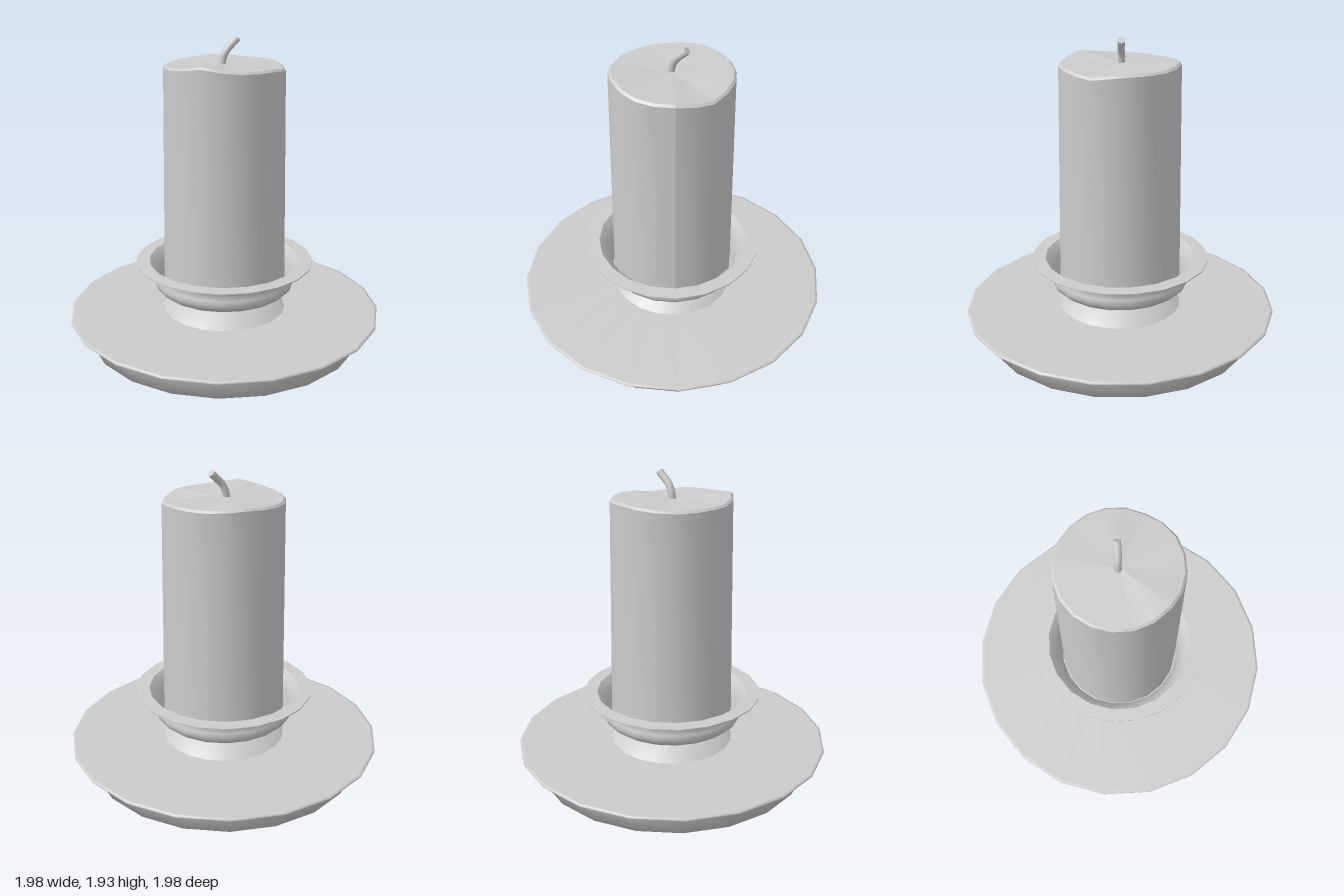
import * as THREE from 'three';

const SIDES = 20;
const material = new THREE.MeshStandardMaterial({ color: 0xcccccc });

// Turns several profiles about y; normals are smooth inside each, sharp between them.
function turned(name, profiles, shape = () => {}) {
  const group = new THREE.Group();
  group.name = name;
  for (const profile of profiles) {
    const points = profile.map(([r, y]) => new THREE.Vector2(r, y));
    const geometry = new THREE.LatheGeometry(points, SIDES, THREE.MathUtils.degToRad(10));
    shape(geometry);
    group.add(new THREE.Mesh(geometry, material));
    group.children.at(-1).name = name + 'Surface';
  }
  return group;
}

// Uneven molten rim: a peak, a dip and a slight swell around the edge.
function meltRim(geometry) {
  const waves = [[152, 0.03], [46, -0.027], [-62, 0.012], [-120, -0.006]];
  const p = geometry.attributes.position;
  for (let i = 0; i < p.count; i++) {
    const r = Math.hypot(p.getX(i), p.getZ(i));
    if (p.getY(i) < 1.7 || r < 0.2) continue;
    const a = THREE.MathUtils.radToDeg(Math.atan2(p.getZ(i), p.getX(i)));
    let y = p.getY(i);
    for (const [centre, height] of waves) {
      const d = ((a - centre + 540) % 360) - 180;
      y += height * Math.exp(-((d / 20) ** 2));
    }
    p.setY(i, y);
  }
  geometry.computeVertexNormals();
}

export function createModel() {
  const model = new THREE.Group();
  model.name = 'candleHolder';

  // Wide dish with a hollow foot, an overhanging rim and a flared stem
  model.add(turned('baseDish', [
    [[0.27, 0.27], [0.28, 0.2], [0.32, 0.1], [0.35, 0]],
    [[0.35, 0], [0.7, 0], [0.875, 0.005], [0.9, 0.135]],
    [[0.9, 0.135], [0.915, 0.143], [0.98, 0.163], [1, 0.168]],
    [[1, 0.168], [1, 0.18], [0.985, 0.182]],
    [[0.985, 0.182], [0.395, 0.182]],
    [[0.395, 0.182], [0.36, 0.212], [0.31, 0.245], [0.27, 0.27]],
  ]));

  // Bulging cup with a flat lip
  model.add(turned('cup', [
    [[0, 0.268], [0.27, 0.268]],
    [[0.27, 0.268], [0.35, 0.292], [0.41, 0.318], [0.44, 0.343], [0.452, 0.375],
      [0.445, 0.4], [0.435, 0.43], [0.452, 0.458], [0.475, 0.478], [0.505, 0.494], [0.57, 0.502]],
    [[0.57, 0.502], [0.57, 0.509]],
    [[0.57, 0.509], [0.485, 0.511]],
    [[0.485, 0.511], [0.45, 0.475], [0.425, 0.43], [0.41, 0.36], [0.4, 0.31]],
    [[0.4, 0.31], [0, 0.31]],
  ]));

  // Tapered candle with a softened, uneven top edge
  model.add(turned('candle', [
    [[0, 0.315], [0.392, 0.315]],
    [[0.392, 0.315], [0.372, 1.755]],
    [[0.372, 1.755], [0.358, 1.768]],
    [[0.358, 1.768], [0, 1.768]],
  ], meltRim));

  // Bent wick with a closed end
  const path = new THREE.CatmullRomCurve3([
    new THREE.Vector3(-0.012, 1.75, -0.012),
    new THREE.Vector3(0, 1.81, -0.01),
    new THREE.Vector3(0.02, 1.85, 0),
    new THREE.Vector3(0.088, 1.917, 0.018),
  ]);
  const radius = 0.023;
  const wick = new THREE.Mesh(new THREE.TubeGeometry(path, 8, radius, 10), material);
  wick.name = 'wick';
  const tip = new THREE.Mesh(new THREE.CircleGeometry(radius, 10), material);
  tip.name = 'wickTip';
  tip.position.copy(path.getPoint(1));
  tip.quaternion.setFromUnitVectors(new THREE.Vector3(0, 0, 1), path.getTangent(1));
  model.add(wick, tip);

  return model;
}
